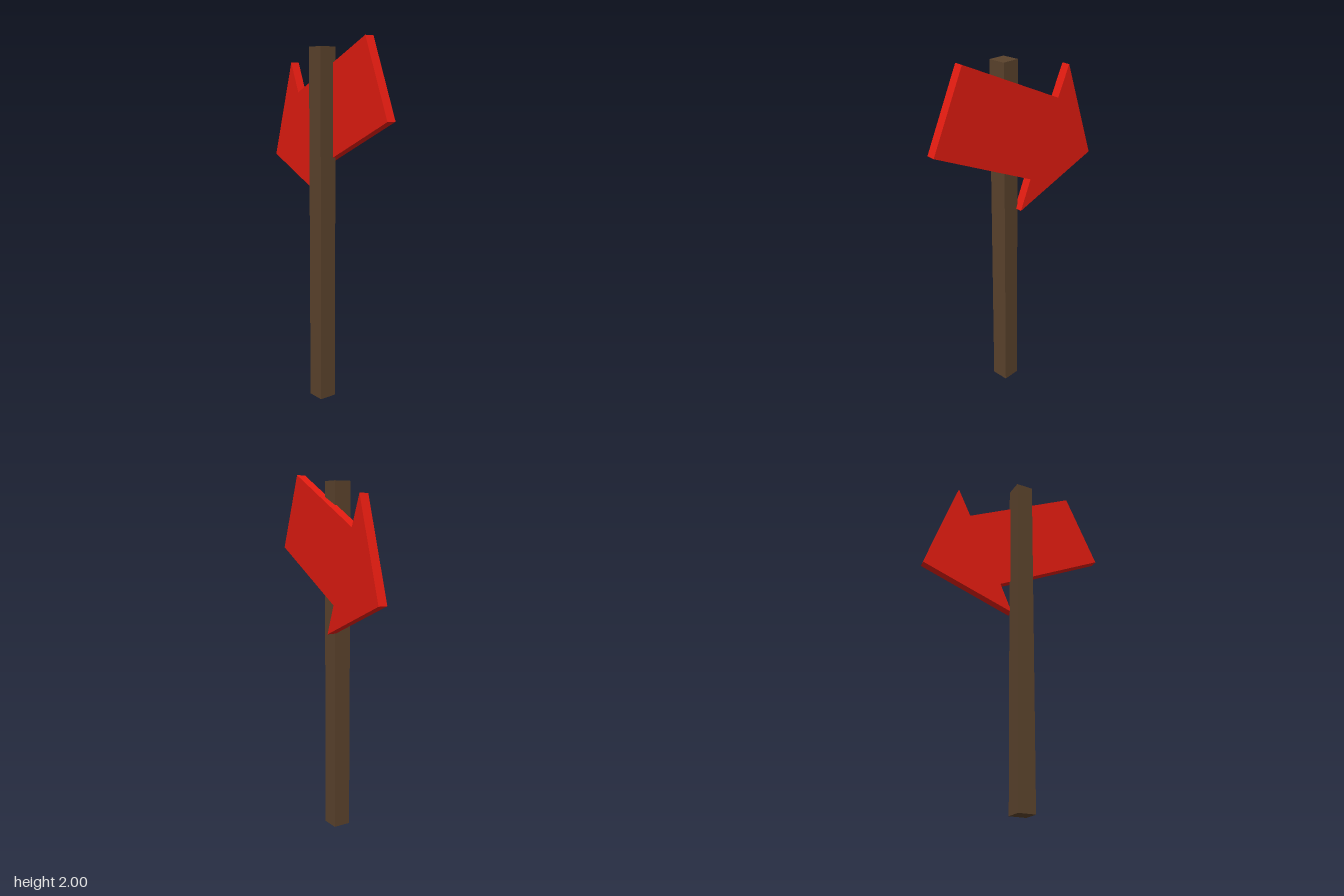
import * as THREE from 'three';

export function createModel() {
  const group = new THREE.Group();
  const wood = new THREE.MeshStandardMaterial({ color: 0x5a422c });
  const red = new THREE.MeshStandardMaterial({ color: 0xe01b10 });

  // Square wooden post
  const post = new THREE.Mesh(new THREE.BoxGeometry(0.1, 1.955, 0.1), wood);
  post.name = 'post';
  post.position.set(-0.043, 0.9775, 0.023);
  group.add(post);

  // Arrow board: flat outline, extruded and centred on its thickness
  const outline = [
    [-0.357, 2.0], [-0.543, 1.587], [0.085, 1.3], [0.016, 1.133],
    [0.543, 1.342], [0.354, 1.88], [0.279, 1.714],
  ].map(([x, y]) => new THREE.Vector2(x, y));
  const thickness = 0.05;
  const geometry = new THREE.ExtrudeGeometry(new THREE.Shape(outline), {
    depth: thickness, bevelEnabled: false,
  });
  geometry.translate(0, 0, -thickness / 2);
  const board = new THREE.Mesh(geometry, red);
  board.name = 'arrowBoard';
  board.position.x = 0.02;
  board.rotation.y = Math.PI / 2 - 0.083; // slightly askew on the post
  group.add(board);

  return group;
}
